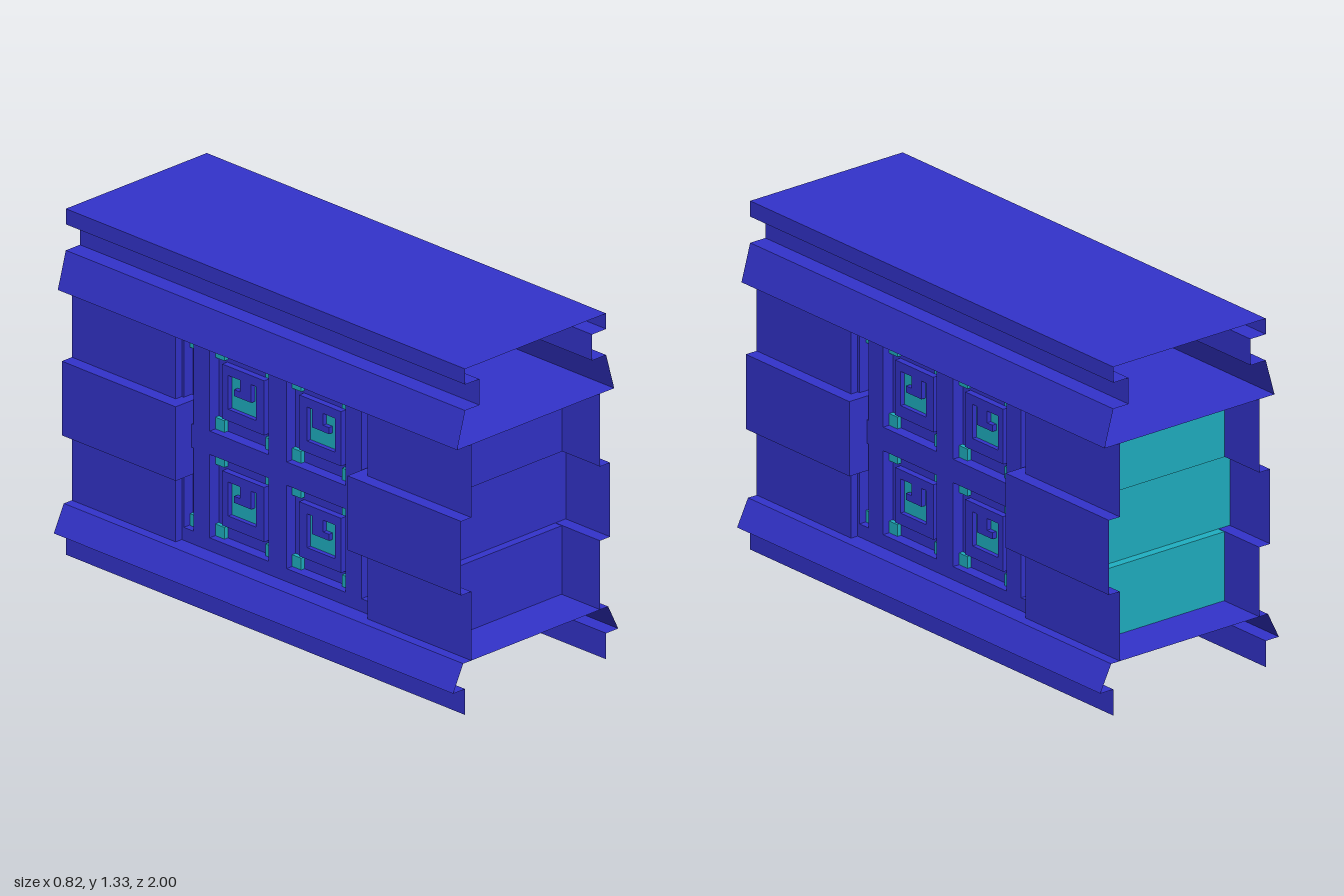
import * as THREE from 'three';

const blue = new THREE.MeshStandardMaterial({ color: 0x3333cc, side: THREE.DoubleSide, flatShading: true });
const teal = new THREE.MeshStandardMaterial({ color: 0x1fb0c2, side: THREE.DoubleSide, flatShading: true });

function add(parent, name, geometry, material = blue) {
  const mesh = new THREE.Mesh(geometry, material);
  mesh.name = name;
  parent.add(mesh);
  return mesh;
}

// Box given by its limits on each axis
function box(parent, name, [x0, x1], [y0, y1], [z0, z1], material) {
  const g = new THREE.BoxGeometry(x1 - x0, y1 - y0, z1 - z0);
  g.translate((x0 + x1) / 2, (y0 + y1) / 2, (z0 + z1) / 2);
  return add(parent, name, g, material);
}

// Thin sheet: an (x, y) profile swept along z
function sheet(parent, name, profile, z0, z1) {
  const pos = [];
  for (let i = 0; i < profile.length - 1; i++) {
    const [ax, ay] = profile[i], [bx, by] = profile[i + 1];
    pos.push(ax, ay, z0, ax, ay, z1, bx, by, z1, ax, ay, z0, bx, by, z1, bx, by, z0);
  }
  const g = new THREE.BufferGeometry();
  g.setAttribute('position', new THREE.Float32BufferAttribute(pos, 3));
  g.computeVertexNormals();
  return add(parent, name, g);
}

function polygon(points, Kind = THREE.Shape) {
  return new Kind(points.map(([u, v]) => new THREE.Vector2(u, v)));
}
const rect = (u0, v0, u1, v1) => [[u0, v0], [u1, v0], [u1, v1], [u0, v1]];

// Plate facing +x, drawn in (-z, y), with holes
function plate(parent, name, outline, holes, x0, x1) {
  const shape = polygon(outline);
  shape.holes = holes.map((h) => polygon(h, THREE.Path));
  const g = new THREE.ExtrudeGeometry(shape, { depth: x1 - x0, bevelEnabled: false });
  g.rotateY(Math.PI / 2).translate(x0, 0, 0);
  return add(parent, name, g);
}

// Hooked groove at the middle of a tile, measured from the tile's centre
const HOOK = [[-0.075, 0.07], [-0.015, 0.07], [-0.015, 0.025], [-0.045, 0.025], [-0.045, 0],
  [0.04, 0], [0.04, 0.07], [0.065, 0.07], [0.065, -0.06], [-0.075, -0.06]];

function sideFace() {
  const side = new THREE.Group();
  side.name = 'sideFace';

  // Upper moulding and plinth
  sheet(side, 'cornice', [[0.35, 1.33], [0.35, 1.27], [0.28, 1.27], [0.28, 1.17],
    [0.35, 1.17], [0.39, 1.03], [0.32, 1.03]], -1, 1);
  sheet(side, 'plinth', [[0.36, 0.2], [0.41, 0.1], [0.35, 0.1], [0.35, 0]], -1, 1);

  // Flanking walls, each with a projecting band
  for (const s of [-1, 1]) {
    sheet(side, 'flankWall', [[0.32, 0.2], [0.32, 0.465], [0.37, 0.465], [0.37, 0.75],
      [0.32, 0.75], [0.32, 1.03]], s * 0.48, s);
    const [a, b] = [s * 0.43, s * 0.56].sort((p, q) => p - q);
    box(side, 'bandEnd', [0.25, 0.37], [0.465, 0.75], [a, b]);
  }

  // Pierced panel with four tiles and narrow slots at its edges
  const holes = [];
  for (const y of [0.25, 0.66]) {
    for (const s of [-1, 1]) {
      const [u0, u1] = s < 0 ? [-0.34, -0.045] : [0.045, 0.34];
      holes.push(rect(u0, y, u1, y + 0.32));
      const [w0, w1] = s < 0 ? [-0.47, -0.42] : [0.42, 0.47];
      holes.push(rect(w0, y, w1, y + 0.32));

      // Raised inner square with the hooked groove
      const cu = (u0 + u1) / 2, cy = y + 0.16;
      const hook = HOOK.map(([u, v]) => [cu - s * u, cy + v]);
      plate(side, 'innerSquare', rect(cu - 0.105, cy - 0.105, cu + 0.105, cy + 0.105), [hook], 0.24, 0.27);
      plate(side, 'grooveFloor', hook, [], 0.24, 0.252).material = teal;

      // Small corner blocks
      for (const v of [y, y + 0.275]) {
        for (const u of [u0, u1 - 0.045, (w0 + w1) / 2 - 0.0225]) {
          box(side, 'cornerBlock', [0.24, 0.262], [v, v + 0.045], [-u - 0.045, -u], teal);
        }
      }
    }
  }
  plate(side, 'piercedPanel', rect(-0.48, 0.2, 0.48, 1.03), holes, 0.24, 0.29);
  return side;
}

export function createModel() {
  const model = new THREE.Group();
  model.name = 'wallBlock';

  // Both long sides
  const left = sideFace();
  const right = sideFace();
  right.rotation.y = Math.PI;
  model.add(left, right);

  // Top, ledge and floor sheets
  sheet(model, 'topSheet', [[-0.35, 1.33], [0.35, 1.33]], -1, 1);
  sheet(model, 'ledge', [[-0.39, 1.03], [0.39, 1.03]], -1, 1);
  sheet(model, 'floorSheet', [[-0.36, 0.2], [0.36, 0.2]], -1, 1);

  // Core behind the pierced panels
  box(model, 'core', [-0.245, 0.245], [0.202, 1.028], [-0.5, 0.5]);

  // Closing walls set back inside both ends
  for (const s of [-1, 1]) {
    const material = s < 0 ? teal : blue;
    const span = (a, b) => (s > 0 ? [a, b] : [-b, -a]);
    box(model, 'lowerEndWall', [-0.318, 0.318], [0.202, 0.465], span(0.484, 0.81), material);
    box(model, 'middleEndWall', [-0.368, 0.368], [0.467, 0.748], span(0.5, 0.78), material);
    box(model, 'upperEndWall', [-0.318, 0.318], [0.75, 1.028], span(0.484, 0.81), material);
    // Faces that close the flanks beside the panels
    for (const [y0, y1] of [[0.2, 0.465], [0.75, 1.03]]) {
      box(model, 'flankReturn', [-0.32, 0.32], [y0, y1], span(0.48, 0.49));
    }
  }
  return model;
}
